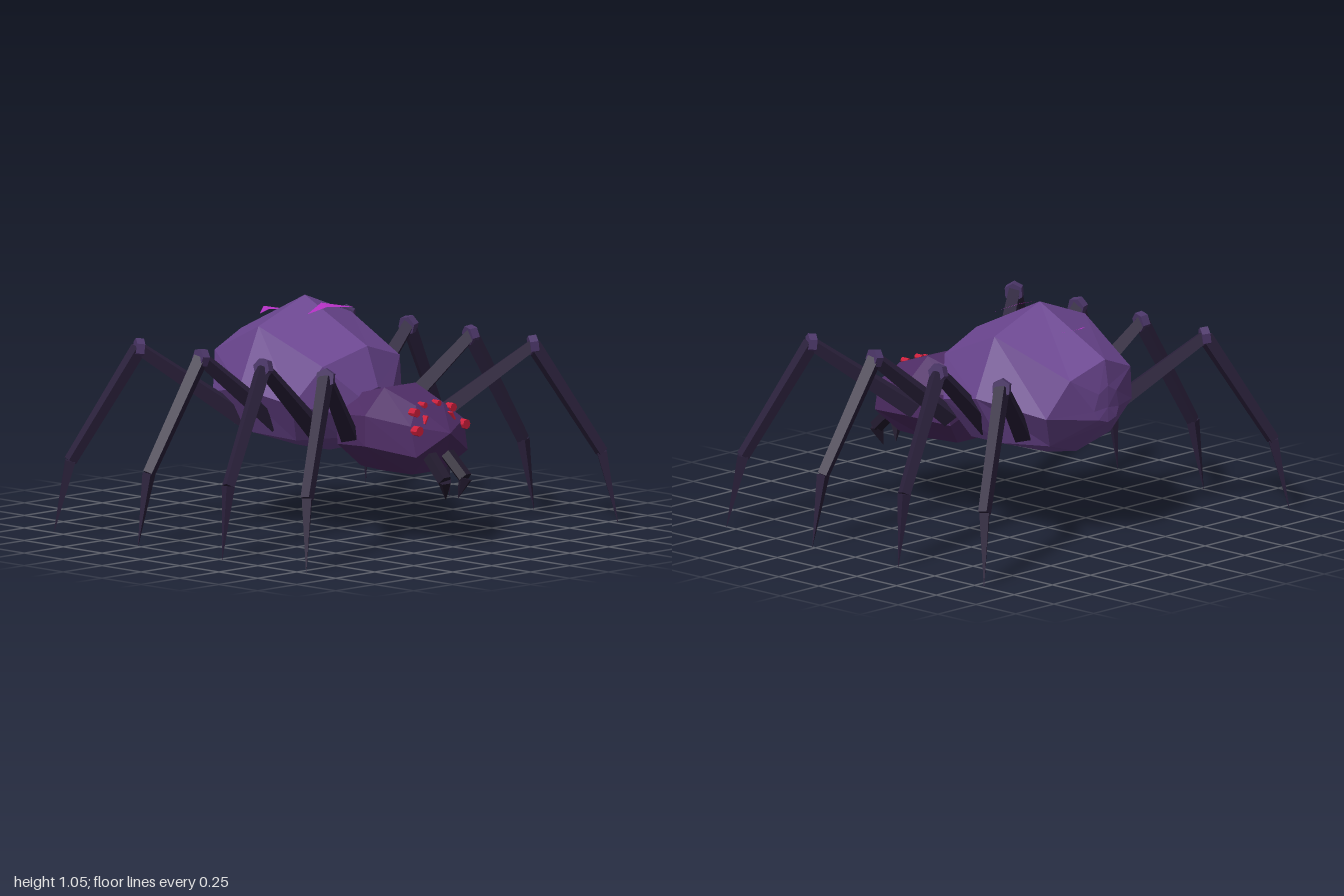
import * as THREE from 'three';

const mat = (name, color) => {
  const m = new THREE.MeshStandardMaterial({ color, flatShading: true });
  m.name = name;
  return m;
};
const V = (x, y, z) => new THREE.Vector3(x, y, z);

// Faceted skin over closed rings ordered from rear to front, each counterclockwise seen from the front
function loft(rings, rearPole, frontPole) {
  const pos = [];
  const tri = (...pts) => pts.forEach(p => pos.push(...p));
  const n = rings[0].length;
  for (let j = 0; j < n; j++) {
    const k = (j + 1) % n;
    for (let i = 0; i < rings.length - 1; i++) {
      const [a, b, c, d] = [rings[i][j], rings[i][k], rings[i + 1][k], rings[i + 1][j]];
      tri(a, b, c);
      tri(a, c, d);
    }
    tri(rearPole, rings[0][k], rings[0][j]);
    tri(frontPole, rings[rings.length - 1][j], rings[rings.length - 1][k]);
  }
  const g = new THREE.BufferGeometry();
  g.setAttribute('position', new THREE.Float32BufferAttribute(pos, 3));
  g.computeVertexNormals();
  return g;
}

// Eight-sided ring through a top, side and bottom point
function ovalRing(w, [zt, yt], [zs, ys], [zb, yb]) {
  return Array.from({ length: 8 }, (_, j) => {
    const a = j * Math.PI / 4, s = Math.sin(a), t = Math.abs(s);
    const [ze, ye] = s > 0 ? [zt, yt] : [zb, yb];
    return [w * Math.cos(a), ys + (ye - ys) * t, zs + (ze - zs) * t];
  });
}

// Ring from points on the +x side, bottom to top, mirrored to the other side
const mirrorRing = half => [...half, ...half.map(([x, y, z]) => [-x, y, z]).reverse()];

// Straight tapered limb piece between two points
function limb(name, a, b, ra, rb, sides, material) {
  const m = new THREE.Mesh(new THREE.CylinderGeometry(rb, ra, a.distanceTo(b), sides), material);
  m.position.copy(a).add(b).multiplyScalar(0.5);
  m.quaternion.setFromUnitVectors(V(0, 1, 0), b.clone().sub(a).normalize());
  m.name = name;
  return m;
}

export function createModel() {
  const spider = new THREE.Group();
  spider.name = 'spider';
  const purple = mat('abdomen purple', 0x6b4690);
  const plum = mat('head plum', 0x4f2d66);
  const dark = mat('leg dark violet', 0x2b213c);
  const jointMat = mat('joint violet', 0x4c3769);
  const black = mat('fang black violet', 0x221a2e);
  const red = mat('eye red', 0xd01f3c);
  const magenta = mat('marking magenta', 0xb832c8);
  magenta.side = THREE.DoubleSide;

  const add = (name, geometry, material, parent = spider) => {
    const m = new THREE.Mesh(geometry, material);
    m.name = name;
    parent.add(m);
    return m;
  };

  // Abdomen
  add('abdomen', loft([
    ovalRing(0.08, [-0.63, 0.73], [-0.62, 0.62], [-0.63, 0.56]),
    ovalRing(0.28, [-0.61, 0.85], [-0.51, 0.60], [-0.43, 0.39]),
    ovalRing(0.42, [-0.20, 1.05], [-0.20, 0.67], [-0.25, 0.355]),
    ovalRing(0.35, [0.20, 0.86], [0.07, 0.61], [-0.04, 0.355]),
    ovalRing(0.15, [0.27, 0.68], [0.22, 0.56], [0.13, 0.40]),
  ], [0, 0.63, -0.63], [0, 0.56, 0.25]), purple);

  // Head
  add('head', loft([
    mirrorRing([[0.08, 0.325, 0.24], [0.18, 0.43, 0.19], [0.19, 0.57, 0.19], [0.08, 0.65, 0.2]]),
    mirrorRing([[0.11, 0.325, 0.41], [0.235, 0.45, 0.42], [0.235, 0.59, 0.42], [0.1, 0.705, 0.41]]),
    mirrorRing([[0.1, 0.325, 0.59], [0.165, 0.42, 0.68], [0.17, 0.56, 0.65], [0.085, 0.64, 0.6]]),
  ], [0, 0.5, 0.18], [0, 0.52, 0.735]), plum);

  // Chevron markings on the back: tip, wings, notch
  const chevron = (name, tip, wing, notch) => {
    const pts = [tip, [-wing[0], wing[1], wing[2]], notch, tip, notch, wing];
    const g = new THREE.BufferGeometry();
    g.setAttribute('position', new THREE.Float32BufferAttribute(pts.flat(), 3));
    g.computeVertexNormals();
    add(name, g, magenta);
  };
  chevron('frontMarking', [0, 1.025, -0.095], [0.15, 0.995, -0.035], [0, 1.01, -0.055]);
  chevron('rearMarking', [0, 0.968, -0.465], [0.09, 0.95, -0.40], [0, 0.957, -0.43]);

  for (const s of [1, -1]) {
    const side = s > 0 ? 'left' : 'right';

    // Eyes
    for (const [x, y, z, r] of [[0.15, 0.54, 0.67, 0.023], [0.117, 0.615, 0.62, 0.02], [0.045, 0.64, 0.6, 0.014]]) {
      spider.add(limb(side + 'Eye', V(s * x, y, z - 0.02), V(s * x, y, z + 0.02), r, r, 8, red));
    }
    const slit = add(side + 'EyeSlit', new THREE.BoxGeometry(0.008, 0.04, 0.03), red);
    slit.position.set(s * 0.087, 0.583, 0.655);
    slit.rotation.z = s * 0.5;

    // Jaw and fang
    const jaw = new THREE.Group();
    jaw.name = side + 'Jaw';
    const bend = V(s * 0.065, 0.31, 0.765);
    jaw.add(limb('jawBase', V(s * 0.055, 0.41, 0.66), bend, 0.035, 0.034, 5, black));
    jaw.add(limb('fang', bend, V(s * 0.04, 0.22, 0.745), 0.034, 0.001, 5, black));
    spider.add(jaw);

    // Four legs
    [[0.34, 0.60, 0.76, 0.81], [0.12, 0.20, 0.255, 0.27], [-0.12, -0.20, -0.255, -0.27], [-0.34, -0.60, -0.76, -0.81]]
      .forEach(([zh, zk, za, zt], i) => {
        const leg = new THREE.Group();
        leg.name = side + 'Leg' + (i + 1);
        const hip = V(s * 0.26, 0.5, zh), knee = V(s * 0.665, 0.835, zk);
        const ankle = V(s * 0.945, 0.33, za), tip = V(s, 0, zt);
        leg.add(limb('thigh', hip, knee, 0.05, 0.035, 4, dark));
        leg.add(limb('shin', knee, ankle, 0.038, 0.031, 4, dark));
        leg.add(limb('foot', ankle, tip, 0.031, 0.001, 4, dark));
        const out = V(knee.x - hip.x, 0.06, zk - zh).normalize().multiplyScalar(0.019);
        leg.add(limb('knee', knee.clone().sub(out), knee.clone().add(out), 0.045, 0.045, 6, jointMat));
        spider.add(leg);
      });
  }
  return spider;
}
